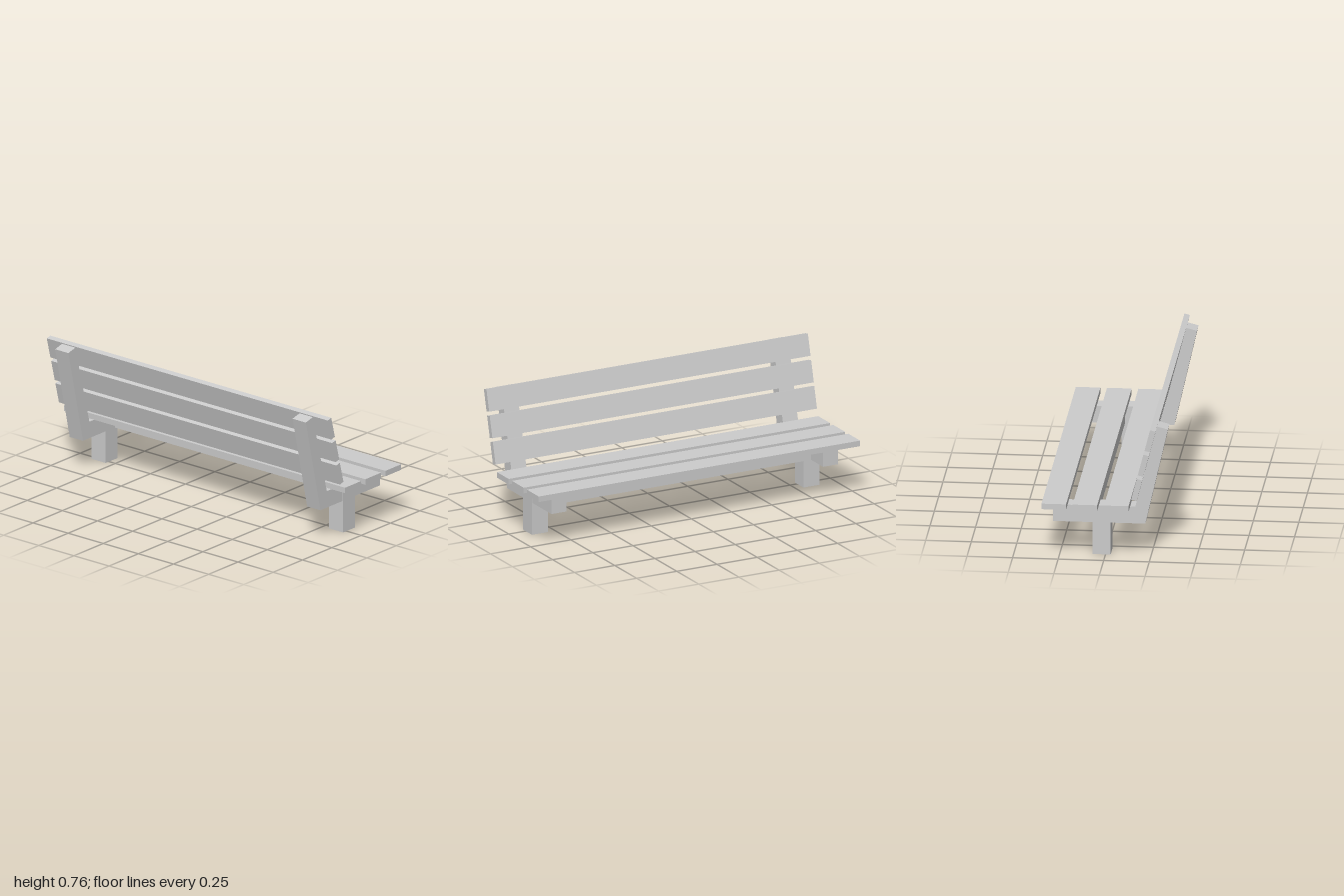
import * as THREE from 'three';

export function createModel() {
  const bench = new THREE.Group();
  bench.name = 'bench';
  const material = new THREE.MeshStandardMaterial({ color: 0xcccccc, flatShading: true });

  const add = (name, geometry, x, y, z, tilt = 0) => {
    const mesh = new THREE.Mesh(geometry, material);
    mesh.name = name;
    mesh.position.set(x, y, z);
    mesh.rotation.z = tilt;
    bench.add(mesh);
  };

  // Seat slats, running the full length along z
  const seatSlat = new THREE.BoxGeometry(0.135, 0.032, 2);
  [-0.069, 0.103, 0.274].forEach((x) => add('seatSlat', seatSlat, x, 0.301, 0));

  // Backrest slats, leaning with the uprights
  const backSlat = new THREE.BoxGeometry(0.031, 0.124, 2);
  [[-0.254, 0.695], [-0.217, 0.553], [-0.181, 0.412]].forEach(([x, y]) =>
    add('backSlat', backSlat, x, y, 0, THREE.MathUtils.degToRad(14.4)));

  // Side frame: seat bearer and leaning upright in one bent profile
  const depth = 0.094;
  const profile = new THREE.Shape([
    [-0.218, 0.183], [0.289, 0.183], [0.289, 0.279],
    [-0.163, 0.279], [-0.283, 0.745], [-0.342, 0.73],
  ].map(([x, y]) => new THREE.Vector2(x, y)));
  const frame = new THREE.ExtrudeGeometry(profile, { depth, bevelEnabled: false });
  frame.translate(0, 0, -depth / 2);

  // A frame and a leg at each end
  const leg = new THREE.BoxGeometry(0.1, 0.282, 0.1);
  for (const side of [-1, 1]) {
    add('sideFrame', frame, 0, 0, side * 0.845);
    add('leg', leg, 0.022, 0.141, side * 0.845);
  }

  // Rail joining the two frames under the seat
  add('seatRail', new THREE.BoxGeometry(0.1, 0.096, 1.6), 0.103, 0.231, 0);

  return bench;
}
